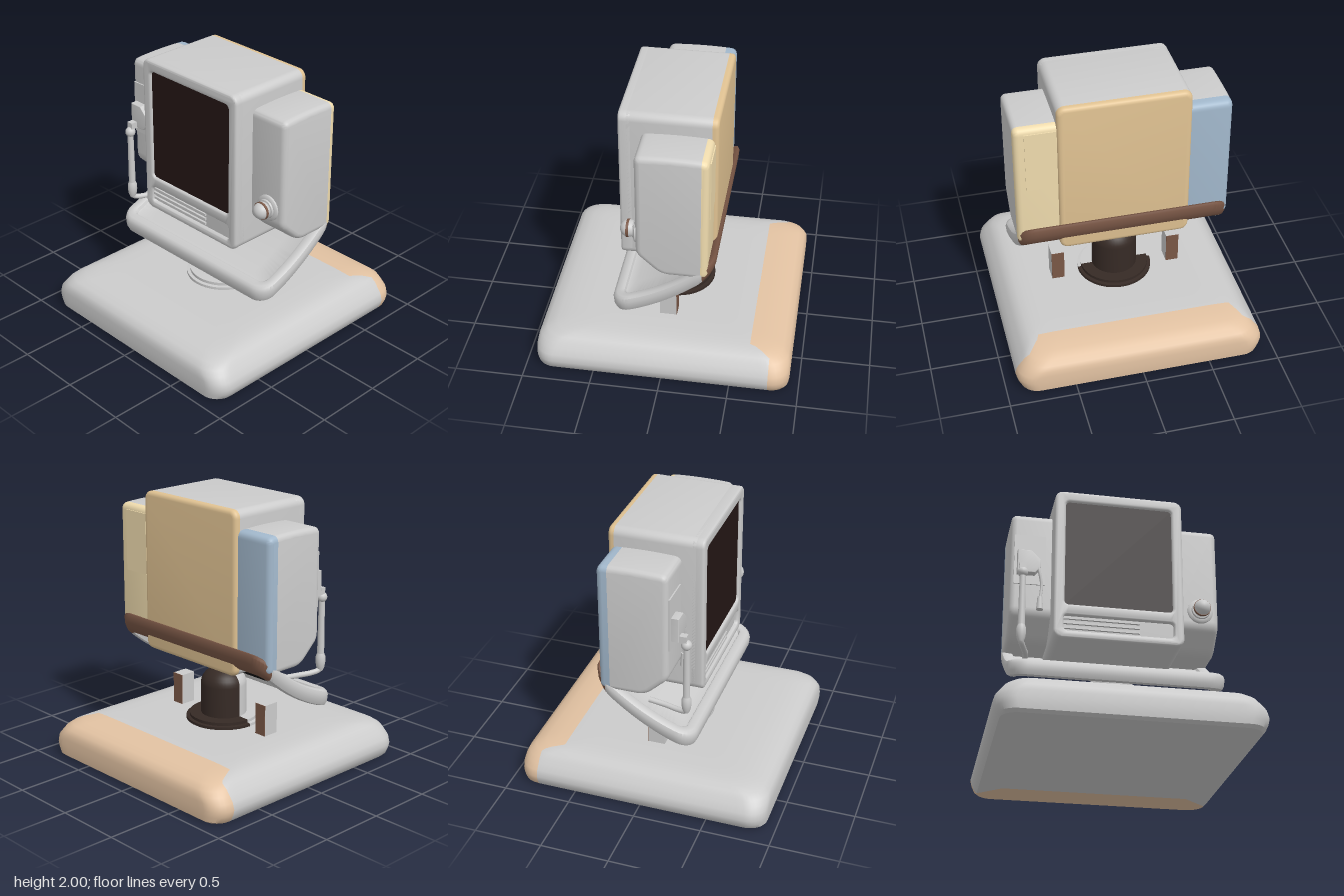
import * as THREE from 'three';
import { toCreasedNormals } from 'three/addons/utils/BufferGeometryUtils.js';

const GREY = 0xcccccc, TAN = 0xe2c2a2, SAND = 0xe0c292, CREAM = 0xf0dcae;
const BLUE = 0xa2b8cc, BROWN = 0x7a5746, DARK = 0x362a25;

// Rounded rectangle outline, counter-clockwise, m points along each straight edge
function roundRect(hx, hy, r, m = 1, cy = 0) {
  const pts = [], arc = 8;
  const corner = (q, j) => {
    const a = (q + j / arc) * Math.PI / 2;
    const sx = q % 4 === 0 || q % 4 === 3 ? 1 : -1, sy = q % 4 < 2 ? 1 : -1;
    return new THREE.Vector2(sx * (hx - r) + r * Math.cos(a), cy + sy * (hy - r) + r * Math.sin(a));
  };
  for (let q = 0; q < 4; q++) {
    for (let j = 0; j <= arc; j++) pts.push(corner(q, j));
    for (let k = 1; k < m; k++) pts.push(corner(q, arc).lerp(corner(q + 1, 0), k / m));
  }
  return pts;
}

// Skin over rounded rectangles [hx, hz, r, y]; bend(x, z) lifts each point
function loft(rings, bend = () => 0) {
  const pos = [], idx = [];
  let n;
  rings.forEach(([hx, hz, r, y], k) => {
    const loop = roundRect(hx, hz, r, 30);
    n = loop.length;
    loop.forEach((p, i) => {
      pos.push(p.x, y + bend(p.x, -p.y), -p.y);
      if (!k) return;
      const a = (k - 1) * n + i, b = (k - 1) * n + (i + 1) % n;
      idx.push(a, b, b + n, a, b + n, a + n);
    });
  });
  const g = new THREE.BufferGeometry();
  g.setAttribute('position', new THREE.Float32BufferAttribute(pos, 3));
  g.setIndex(idx);
  return toCreasedNormals(g, 0.6);
}
const cap = (hx, hz, r, y) => [0.001, 0.2, 0.4, 0.6, 0.8, 1].map(k => [hx * k, hz * k, r * k, y]);

function extrude(shape, from, to, bevel = 0) {
  const g = new THREE.ExtrudeGeometry(shape, {
    depth: to - from - 2 * bevel, bevelEnabled: bevel > 0, bevelSize: bevel,
    bevelThickness: bevel, bevelOffset: -bevel, bevelSegments: 4, curveSegments: 8,
  });
  return toCreasedNormals(g.translate(0, 0, from + bevel), 0.6);
}

// Keep the part of a geometry where sign * f(point) >= 0
function clip(geo, f, sign) {
  const g = geo.index ? geo.toNonIndexed() : geo, P = g.attributes.position, N = g.attributes.normal;
  const pos = [], nor = [];
  for (let t = 0; t < P.count; t += 3) {
    const poly = [];
    const v = [0, 1, 2].map(i => {
      const p = new THREE.Vector3().fromBufferAttribute(P, t + i);
      return { p, n: new THREE.Vector3().fromBufferAttribute(N, t + i), d: sign * f(p) };
    });
    v.forEach((a, i) => {
      const b = v[(i + 1) % 3];
      if (a.d >= 0) poly.push(a);
      if (a.d >= 0 !== b.d >= 0) {
        const k = a.d / (a.d - b.d);
        poly.push({ p: a.p.clone().lerp(b.p, k), n: a.n.clone().lerp(b.n, k).normalize() });
      }
    });
    for (let i = 2; i < poly.length; i++)
      for (const c of [poly[0], poly[i - 1], poly[i]]) { pos.push(...c.p); nor.push(...c.n); }
  }
  const out = new THREE.BufferGeometry();
  out.setAttribute('position', new THREE.Float32BufferAttribute(pos, 3));
  out.setAttribute('normal', new THREE.Float32BufferAttribute(nor, 3));
  return out;
}

export function createModel() {
  const root = new THREE.Group();
  const add = (name, geo, color = GREY, x = 0, y = 0, z = 0) => {
    const m = new THREE.Mesh(geo, new THREE.MeshStandardMaterial({ color }));
    m.name = name;
    m.position.set(x, y, z);
    root.add(m);
    return m;
  };
  const twoTone = (name, geo, f, color) => {
    add(name, clip(geo, f, 1));
    add(name + 'Rear', clip(geo, f, -1), color);
  };
  const box = (w, h, d) => new THREE.BoxGeometry(w, h, d);
  const lathe = pts => new THREE.LatheGeometry(pts.map(p => new THREE.Vector2(...p)), 40);
  const tube = (pts, r) => new THREE.TubeGeometry(
    new THREE.CatmullRomCurve3(pts.map(p => new THREE.Vector3(...p))), 40, r, 12);

  // Pillow-shaped base with a tan rear
  twoTone('base', loft([
    ...cap(0.87, 0.9, 0.12, 0), [0.89, 0.925, 0.13, 0.02], [0.91, 0.93, 0.14, 0.06], [0.92, 0.93, 0.14, 0.1],
    [0.905, 0.93, 0.14, 0.15], [0.875, 0.925, 0.15, 0.19], [0.85, 0.91, 0.15, 0.225], [0.82, 0.87, 0.15, 0.255],
    [0.78, 0.8, 0.15, 0.277], [0.73, 0.71, 0.14, 0.288], ...cap(0.66, 0.6, 0.12, 0.295).reverse(),
  ]), p => p.z + 0.63 + 0.15 * THREE.MathUtils.clamp((Math.abs(p.x) - 0.74) / 0.04, 0, 1), TAN);

  // Swivel column on its stepped flange
  const flange = [[0, 0.28], [0.28, 0.28], [0.28, 0.315], [0.255, 0.318], [0.255, 0.34], [0.17, 0.342]];
  twoTone('swivelFlange', toCreasedNormals(lathe(flange), 0.6), p => p.z, DARK);
  const column = [[0.17, 0.33], [0.17, 0.57]];
  for (let i = 1; i <= 8; i++) {
    const a = i * Math.PI / 16;
    column.push([0.17 * Math.cos(a), 0.57 + 0.13 * Math.sin(a)]);
  }
  twoTone('swivelColumn', lathe(column), p => p.z, DARK);

  // Short support posts
  for (const s of [-1, 1]) twoTone('supportPost', box(0.095, 0.25, 0.125).translate(s * 0.445, 0.405, 0), p => p.z + 0.058, BROWN);

  // Curved tray with a raised rim and hollow underside
  const sweep = (x, z) => { const u = 0.35 - z; return 0.495 + 0.24 * u + 0.5 * u * u; };
  const trayRing = (inset, h) => [0.78 - inset, 0.37 - inset, Math.max(0.13 - inset, 0.05), h];
  twoTone('tray', loft([
    ...cap(0.7, 0.29, 0.05, 0.06), trayRing(0.07, 0.01), trayRing(0.06, 0), trayRing(0.04, 0), trayRing(0.02, 0.008),
    trayRing(0.005, 0.04), trayRing(0, 0.09), trayRing(0.008, 0.115), trayRing(0.025, 0.127), trayRing(0.065, 0.127),
    trayRing(0.08, 0.118), trayRing(0.09, 0.095), ...cap(0.68, 0.27, 0.05, 0.09).reverse(),
  ], sweep), p => p.z + 0.28, BROWN);
  add('trayUnderside', loft([...cap(0.705, 0.295, 0.05, 0.056), ...cap(0.7, 0.29, 0.05, 0.062).reverse()], sweep), 0x141414);

  // Monitor housing, front bezel, screen and slotted panel
  const outline = () => new THREE.Shape(roundRect(0.475, 0.595, 0.06, 1, 1.405));
  twoTone('monitorHousing', extrude(outline(), -0.345, 0.315, 0.03), p => p.z + 0.3, SAND);
  const bezel = outline();
  bezel.holes.push(new THREE.Path(roundRect(0.395, 0.42, 0.03, 1, 1.495).reverse()),
    new THREE.Path(roundRect(0.4, 0.06, 0.03, 1, 0.93).reverse()));
  add('screenBezel', extrude(bezel, 0.24, 0.345, 0.02));
  add('screen', box(0.81, 0.86, 0.02), 0x241615, 0, 1.495, 0.316);
  for (let i = 0; i < 3; i++) add('panelSlat', box(0.55, 0.018, 0.02), GREY, -0.125, 0.97 - i * 0.037, 0.322);

  // Side cabinets with a sloping lower front
  const side = new THREE.Shape();
  side.moveTo(-0.185, 1.1);
  side.quadraticCurveTo(-0.185, 1.05, -0.15, 1.02);
  side.lineTo(-0.06, 0.935);
  side.quadraticCurveTo(-0.01, 0.89, 0.05, 0.89);
  side.lineTo(0.27, 0.89);
  side.quadraticCurveTo(0.32, 0.89, 0.32, 0.94);
  side.lineTo(0.32, 1.81);
  side.quadraticCurveTo(0.32, 1.86, 0.27, 1.863);
  side.quadraticCurveTo(0.07, 1.875, -0.135, 1.863);
  side.quadraticCurveTo(-0.185, 1.86, -0.185, 1.81);
  side.lineTo(-0.185, 1.1);
  twoTone('leftCabinet', extrude(side, 0.4, 0.775, 0.04).rotateY(Math.PI / 2), p => p.z + 0.27, CREAM);
  twoTone('rightCabinet', extrude(side, -0.775, -0.4, 0.04).rotateY(Math.PI / 2), p => p.z + 0.24, BLUE);
  add('rearHatch', box(0.22, 0.46, 0.014), CREAM, 0.59, 1.59, -0.32);

  // Ball knob
  const knob = [[0.095, -0.01], [0.095, 0.012], [0.085, 0.02], [0.07, 0.022], [0.065, 0.032], [0.045, 0.036]];
  add('knobCollar', toCreasedNormals(lathe(knob), 0.6).rotateX(Math.PI / 2), GREY, 0.635, 1.175, 0.185);
  add('knobBall', new THREE.SphereGeometry(0.062, 28, 20), GREY, 0.635, 1.175, 0.25);
  add('knobBand', new THREE.CylinderGeometry(0.064, 0.064, 0.018, 32).rotateX(Math.PI / 2), BROWN, 0.635, 1.175, 0.255);

  // Handset plate, cradle, cord and plug
  add('handsetPlate', box(0.23, 0.4, 0.02), GREY, -0.635, 1.48, 0.185);
  const cradle = new THREE.Shape([[-0.73, 1.35], [-0.6, 1.35], [-0.56, 1.4], [-0.56, 1.46], [-0.63, 1.53], [-0.73, 1.53]]
    .map(p => new THREE.Vector2(...p)));
  add('handsetCradle', extrude(cradle, 0.19, 0.25, 0.005));
  add('cord', tube([[-0.585, 1.46, 0.235], [-0.57, 1.37, 0.24], [-0.55, 1.26, 0.23], [-0.56, 1.14, 0.23]], 0.011));
  add('cordPlug', new THREE.CylinderGeometry(0.018, 0.026, 0.1, 16), GREY, -0.56, 1.115, 0.23);

  // Handset pipe running down and back to the tray
  add('handsetBall', new THREE.SphereGeometry(0.038, 20, 14), GREY, -0.695, 1.32, 0.295);
  add('handsetMount', box(0.05, 0.05, 0.07), GREY, -0.695, 1.37, 0.265);
  add('handsetPipe', new THREE.CylinderGeometry(0.022, 0.026, 0.45, 18), GREY, -0.695, 1.1, 0.295);
  add('handsetGrip', lathe([[0.018, 0.77], [0.03, 0.8], [0.036, 0.84], [0.034, 0.88], [0.022, 0.91]]), GREY, -0.695, 0, 0.295);
  add('pipeElbow', tube([[-0.695, 0.82, 0.3], [-0.69, 0.775, 0.285], [-0.67, 0.76, 0.23], [-0.64, 0.76, 0.12], [-0.63, 0.77, 0]], 0.02));

  return root;
}
